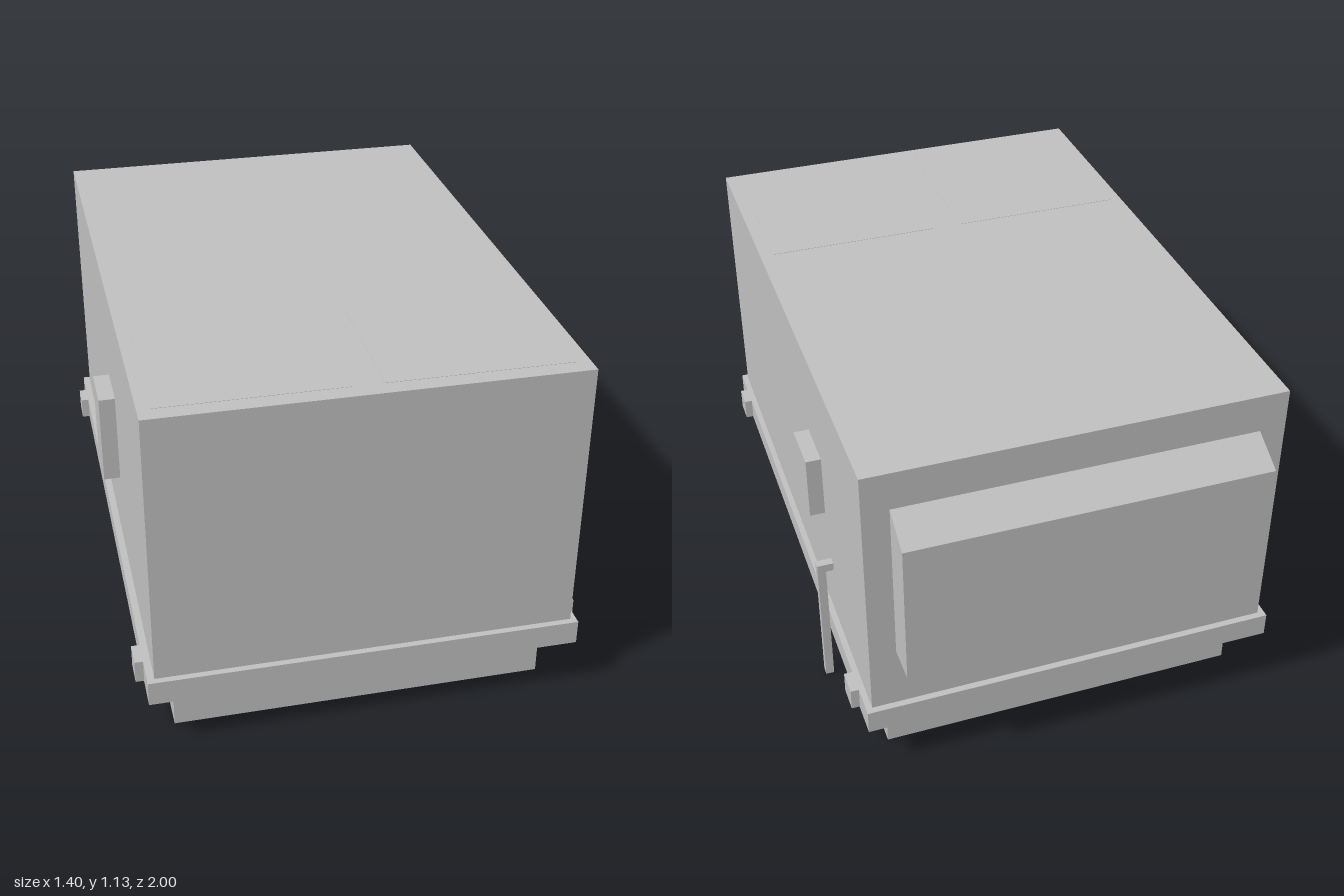
import * as THREE from 'three';

export function createModel() {
  const model = new THREE.Group();
  const grey = new THREE.MeshStandardMaterial({ color: 0xc0c0c0, side: THREE.DoubleSide });
  grey.name = 'light grey metal';

  const add = (name, geometry) => {
    const mesh = new THREE.Mesh(geometry, grey);
    mesh.name = name;
    model.add(mesh);
    return mesh;
  };

  // Box given by its limits along each axis
  const box = (name, [x0, x1], [y0, y1], [z0, z1]) =>
    add(name, new THREE.BoxGeometry(x1 - x0, y1 - y0, z1 - z0))
      .position.set((x0 + x1) / 2, (y0 + y1) / 2, (z0 + z1) / 2);

  // Cabinet and the rail it stands on
  box('cabinet', [-0.65, 0.645], [0.253, 1.131], [-0.884, 0.98]);
  box('baseRail', [-0.672, 0.664], [0.174, 0.253], [-0.905, 1]);

  // Hollow curb: four sheet walls, open below
  const curb = { x0: -0.588, x1: 0.581, z0: -0.8, z1: 0.9, h: 0.174 };
  const cx = (curb.x0 + curb.x1) / 2, cz = (curb.z0 + curb.z1) / 2;
  const width = curb.x1 - curb.x0, depth = curb.z1 - curb.z0;
  [
    ['curbFront', width, cx, curb.z1, 0],
    ['curbLeft', depth, curb.x1, cz, Math.PI / 2],
    ['curbBack', width, cx, curb.z0, Math.PI],
    ['curbRight', depth, curb.x0, cz, -Math.PI / 2],
  ].forEach(([name, length, x, z, turn]) => {
    const wall = add(name, new THREE.PlaneGeometry(length, curb.h));
    wall.position.set(x, curb.h / 2, z);
    wall.rotation.y = turn;
  });

  // Rear hood with a sloping top, its side profile extruded along x
  const profile = new THREE.Shape([
    new THREE.Vector2(0.884, 0.464),
    new THREE.Vector2(1, 0.464),
    new THREE.Vector2(1, 0.943),
    new THREE.Vector2(0.884, 1.006),
  ]);
  const hood = add('rearHood', new THREE.ExtrudeGeometry(profile, { depth: 1.13, bevelEnabled: false }));
  hood.rotation.y = Math.PI / 2;
  hood.position.x = -0.568;

  // Roof access panels, almost flush
  for (const [x0, x1] of [[-0.61, -0.052], [0.042, 0.6]])
    box('roofPanel', [x0, x1], [1.13, 1.132], [0.375, 0.926]);

  // Side boxes
  box('leftControlBox', [0.645, 0.693], [0.63, 0.84], [-0.39, -0.228]);
  box('rightControlBox', [-0.702, -0.65], [0.506, 0.8], [0.1, 0.265]);

  // Lifting lugs near the rail corners
  for (const [z0, z1] of [[0.815, 0.895], [-0.8, -0.72]]) {
    box('leftLug', [0.664, 0.69], [0.18, 0.253], [z0, z1]);
    box('rightLug', [-0.698, -0.672], [0.18, 0.253], [z0, z1]);
  }

  // Drain pipe: short elbow out of the cabinet, then straight down
  box('drainElbow', [0.645, 0.67], [0.447, 0.475], [-0.457, -0.43]);
  box('drainPipe', [0.67, 0.697], [0, 0.475], [-0.457, -0.43]);

  return model;
}
